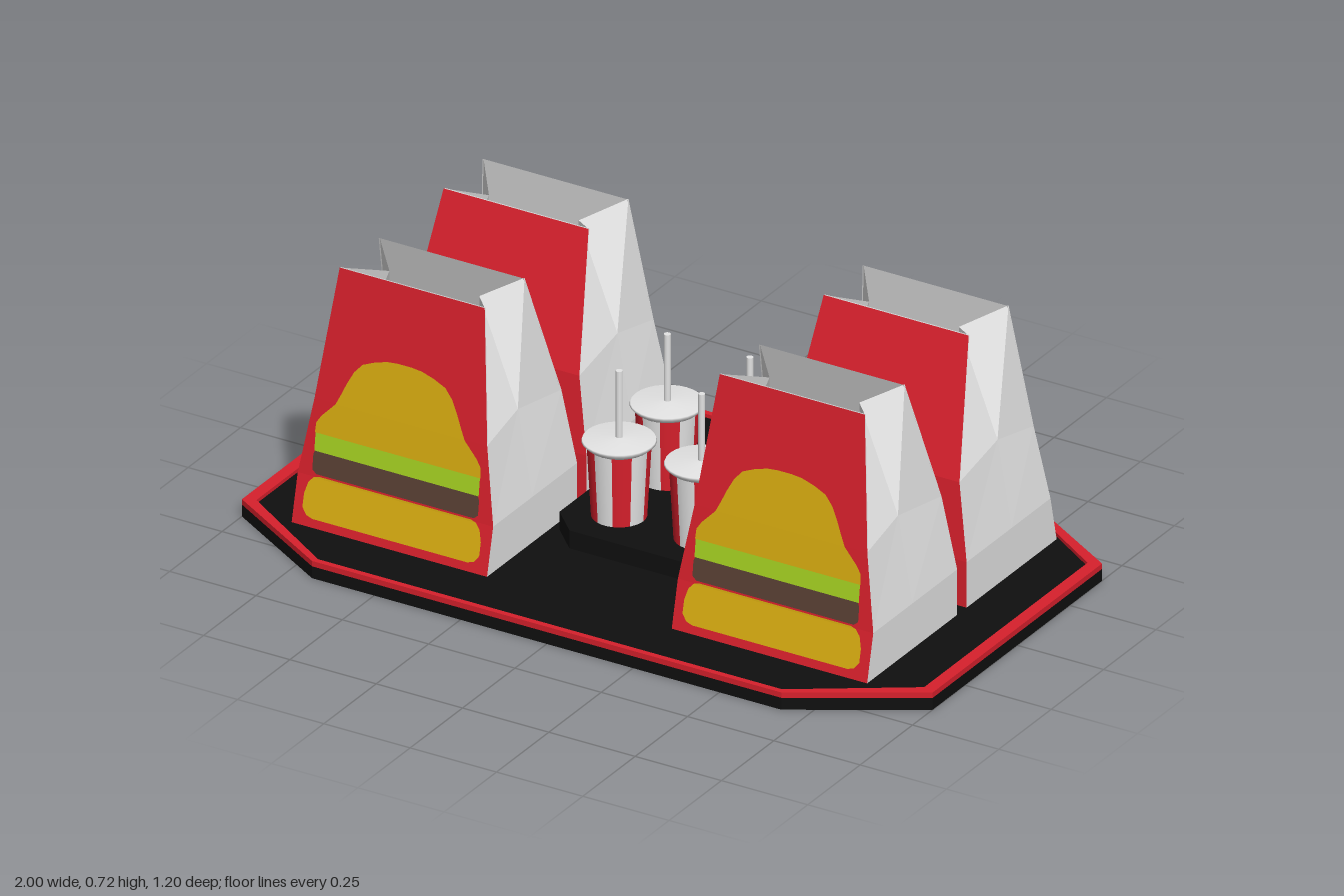
import * as THREE from 'three';

const mat = (name, color, side = THREE.FrontSide) => {
  const m = new THREE.MeshStandardMaterial({ color, side });
  m.name = name;
  return m;
};
const red = mat('red', 0xd8202c);
const black = mat('black', 0x0f0f0f);
const white = mat('white paper', 0xe4e4e4, THREE.DoubleSide);
const yellow = mat('bun yellow', 0xd8ac10);
const green = mat('lettuce green', 0xa6d222);
const brown = mat('patty brown', 0x5a4034);

function add(parent, name, geometry, material) {
  const mesh = new THREE.Mesh(geometry, material);
  mesh.name = name;
  parent.add(mesh);
  return mesh;
}

// Flat-shaded geometry from counter-clockwise four-cornered faces
function quads(list) {
  const pos = [];
  for (const [a, b, c, d] of list) pos.push(...a, ...b, ...c, ...a, ...c, ...d);
  const g = new THREE.BufferGeometry();
  g.setAttribute('position', new THREE.Float32BufferAttribute(pos, 3));
  g.computeVertexNormals();
  return g;
}

// Bag cross-sections: height, outer z, inner z, half width, fold half width, fold height
const MID_Z = -0.0225;
const FOLD_Z = 0.2375;
const LEVELS = [
  [0.035, 0.453, 0.0225, 0.283, 0.283, 0.035],
  [0.165, 0.423, 0.0225, 0.283, 0.283, 0.165],
  [0.37, 0.397, 0.043, 0.25, 0.242, 0.4],
  [0.72, 0.343, 0.153, 0.21, 0.13, 0.685],
];

// z of the printed panel at height y
function panelZ(y) {
  let i = 0;
  while (i < LEVELS.length - 2 && y > LEVELS[i + 1][0]) i++;
  const [a, b] = [LEVELS[i], LEVELS[i + 1]];
  return a[1] + ((b[1] - a[1]) * (y - a[0])) / (b[0] - a[0]);
}

// Printed shape lying on the panel, from rows of [height, half width]
function printed(rows) {
  const z = (y) => panelZ(y) + 0.004;
  return quads(rows.slice(1).map(([y1, w1], i) => {
    const [y0, w0] = rows[i];
    return [[-w0, y0, z(y0)], [w0, y0, z(y0)], [w1, y1, z(y1)], [-w1, y1, z(y1)]];
  }));
}

function makeBag() {
  const bag = new THREE.Group();
  const outer = [], inner = [], gussets = [], liner = [];
  for (let i = 0; i < LEVELS.length - 1; i++) {
    const [y0, o0, n0, h0, m0, f0] = LEVELS[i];
    const [y1, o1, n1, h1, m1, f1] = LEVELS[i + 1];
    const panel = (a, b) => [[-h0, y0, a], [h0, y0, a], [h1, y1, b], [-h1, y1, b]];
    outer.push(panel(o0, o1));
    inner.push(panel(n0, n1).reverse());
    liner.push(panel(o0 - 0.004, o1 - 0.004).reverse(), panel(n0 + 0.004, n1 + 0.004));
    // Folded sides, mirrored left and right
    const side = [
      [[h0, y0, o0], [m0, f0, FOLD_Z], [m1, f1, FOLD_Z], [h1, y1, o1]],
      [[m0, f0, FOLD_Z], [h0, y0, n0], [h1, y1, n1], [m1, f1, FOLD_Z]],
    ];
    for (const q of side) gussets.push(q, q.map(([x, y, z]) => [-x, y, z]).reverse());
  }
  add(bag, 'printedPanel', quads(outer), red);
  add(bag, 'plainPanel', quads(inner), red);
  add(bag, 'foldedSides', quads(gussets), white);
  add(bag, 'paperLining', quads(liner), white);
  add(bag, 'bagFloor', quads([
    [[-0.28, 0.05, 0.445], [0.28, 0.05, 0.445], [0.28, 0.05, 0.025], [-0.28, 0.05, 0.025]],
  ]), white);

  // Printed burger
  add(bag, 'bottomBun', printed([[0.062, 0.225], [0.068, 0.243], [0.085, 0.256],
    [0.12, 0.256], [0.15, 0.248], [0.165, 0.235], [0.17, 0.22]]), yellow);
  add(bag, 'patty', printed([[0.175, 0.228], [0.185, 0.24], [0.225, 0.24], [0.235, 0.236]]), brown);
  add(bag, 'lettuce', printed([[0.235, 0.238], [0.283, 0.238]]), green);
  add(bag, 'topBun', printed([[0.283, 0.24], [0.31, 0.238], [0.33, 0.225], [0.37, 0.187],
    [0.4, 0.173], [0.43, 0.16], [0.465, 0.142], [0.49, 0.12], [0.505, 0.085],
    [0.515, 0.05], [0.518, 0.02]]), yellow);
  return bag;
}

function makeCup() {
  const cup = new THREE.Group();
  // Alternating vertical stripes, white facing forward
  const n = 10, step = (Math.PI * 2) / n;
  for (let i = 0; i < n; i++) {
    const g = new THREE.CylinderGeometry(0.081, 0.07, 0.2, 3, 1, true, (i - 0.5) * step, step);
    g.translate(0, 0.185, 0);
    add(cup, 'cupStripe', g, i % 2 ? red : white);
  }
  const lid = [[0.078, 0.28], [0.084, 0.285], [0.094, 0.295], [0.092, 0.3], [0, 0.306]]
    .map(([x, y]) => new THREE.Vector2(x, y));
  add(cup, 'lid', new THREE.LatheGeometry(lid, 28), white);
  add(cup, 'straw', new THREE.CylinderGeometry(0.009, 0.009, 0.19, 10), white).position.y = 0.395;
  return cup;
}

// Rectangle with clipped corners
function clipped(Type, x, z, cx, cz) {
  const pts = [[cx, z], [-cx, z], [-x, cz], [-x, -cz], [-cx, -z], [cx, -z], [x, -cz], [x, cz]];
  return new Type(pts.map((p) => new THREE.Vector2(...p)));
}

function slab(shape, y0, y1) {
  const g = new THREE.ExtrudeGeometry(shape, { depth: y1 - y0, bevelEnabled: false });
  return g.rotateX(-Math.PI / 2).translate(0, y0, 0);
}

export function createModel() {
  const model = new THREE.Group();
  model.name = 'mealTray';

  // Tray with a raised red rim
  add(model, 'trayBase', slab(clipped(THREE.Shape, 1, 0.598, 0.68, 0.405), 0, 0.033), black);
  const rim = clipped(THREE.Shape, 1, 0.598, 0.68, 0.405);
  rim.holes.push(clipped(THREE.Path, 0.967, 0.582, 0.672, 0.39));
  add(model, 'trayRim', slab(rim, 0.033, 0.048), red);
  add(model, 'trayFloor', slab(clipped(THREE.Shape, 0.967, 0.582, 0.672, 0.39), 0.03, 0.038), black);

  // Four bags, printed sides facing outwards
  for (const x of [-0.558, 0.543]) {
    for (const turn of [0, Math.PI]) {
      const bag = makeBag();
      bag.name = turn ? 'backBag' : 'frontBag';
      bag.position.set(x, 0, MID_Z);
      bag.rotation.y = turn;
      model.add(bag);
    }
  }

  // Drinks on their holder
  const holder = add(model, 'cupHolder', slab(clipped(THREE.Shape, 0.253, 0.253, 0.18, 0.18), 0.035, 0.088), black);
  holder.position.z = -0.06;
  for (const x of [-0.119, 0.12]) {
    for (const z of [-0.174, 0.056]) {
      const cup = makeCup();
      cup.name = 'drinkCup';
      cup.position.set(x, 0, z);
      model.add(cup);
    }
  }
  return model;
}
